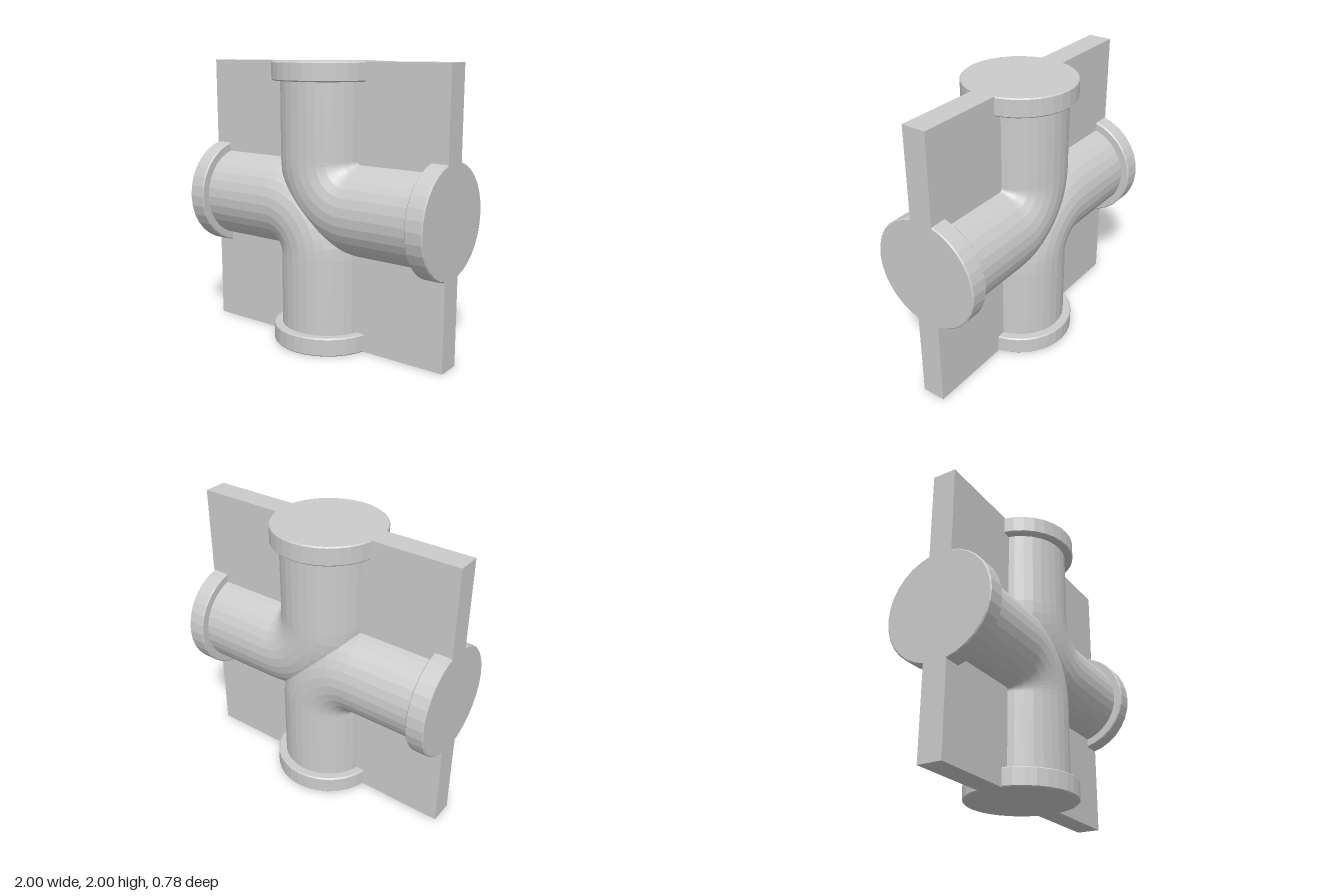
import * as THREE from 'three';

const PIPE_R = 0.33;     // pipe radius
const COLLAR_R = 0.39;   // end collar radius
const COLLAR_LEN = 0.13;
const BEND_R = 0.34;     // centreline radius of each elbow
const SIDES = 32;

const material = new THREE.MeshStandardMaterial({ color: 0xcccccc, flatShading: true });

function part(name, geometry, parent) {
  const mesh = new THREE.Mesh(geometry, material);
  mesh.name = name;
  parent.add(mesh);
  return mesh;
}

// Collar with slightly eased rims, closed at both ends, ending at y = 1
function collarGeometry() {
  const e = 0.008, y0 = 1 - COLLAR_LEN;
  const profile = [
    [0, y0], [COLLAR_R - e, y0], [COLLAR_R, y0 + e],
    [COLLAR_R, 1 - e], [COLLAR_R - e, 1], [0, 1],
  ].map(([x, y]) => new THREE.Vector2(x, y));
  return new THREE.LatheGeometry(profile, SIDES);
}

// Straight pipe running up from the end of the bend into its collar
function straightGeometry() {
  const length = 0.95 - BEND_R;
  return new THREE.CylinderGeometry(PIPE_R, PIPE_R, length, SIDES, 1, true)
    .translate(0, BEND_R + length / 2, 0);
}

// One elbow: up leg, quarter bend, side leg and two collars
function elbow(name) {
  const group = new THREE.Group();
  group.name = name;
  const bend = part('bend', new THREE.TorusGeometry(BEND_R, PIPE_R, SIDES, 10, Math.PI / 2), group);
  bend.rotation.z = Math.PI;
  bend.position.set(BEND_R, BEND_R, 0);
  for (const [side, angle] of [['upright', 0], ['sideways', -Math.PI / 2]]) {
    part(side + 'Pipe', straightGeometry(), group).rotation.z = angle;
    part(side + 'Collar', collarGeometry(), group).rotation.z = angle;
  }
  return group;
}

export function createModel() {
  const model = new THREE.Group();
  model.name = 'doubleElbowPipePanel';

  // Square panel through the middle of the pipes
  part('panel', new THREE.BoxGeometry(2, 2, 0.17), model).position.y = 1;

  // Two back-to-back elbows meeting along the diagonal
  ['upperElbow', 'lowerElbow'].forEach((name, i) => {
    const group = elbow(name);
    group.position.y = 1;
    group.rotation.z = i * Math.PI;
    model.add(group);
  });
  return model;
}
